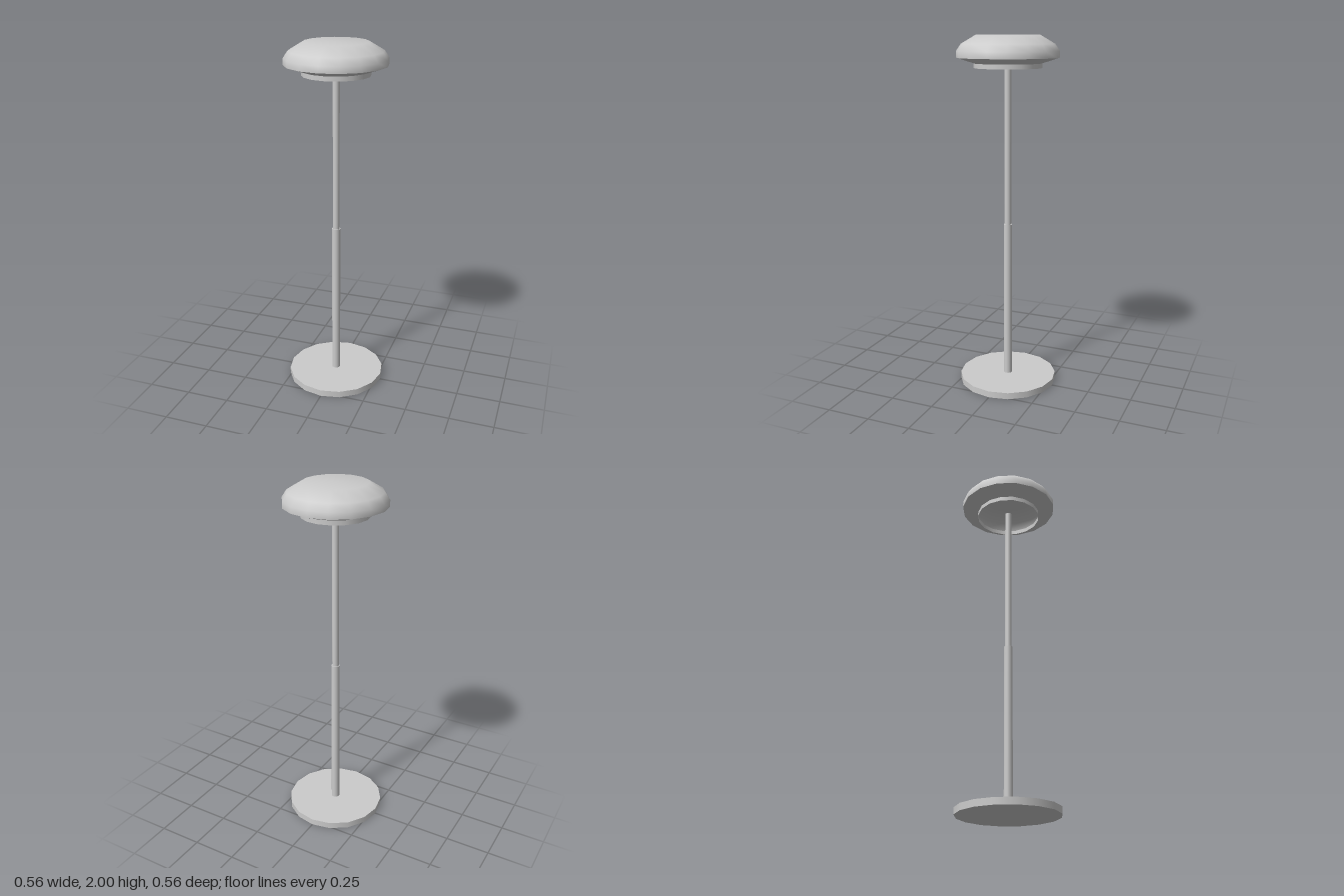
import * as THREE from 'three';

const SIDES = 16;
const solid = new THREE.MeshStandardMaterial({ color: 0xcccccc });
const shell = new THREE.MeshStandardMaterial({ color: 0xcccccc, side: THREE.DoubleSide });

// Upright cylinder spanning two heights
function post(name, radius, y0, y1) {
  const mesh = new THREE.Mesh(new THREE.CylinderGeometry(radius, radius, y1 - y0, SIDES), solid);
  mesh.name = name;
  mesh.position.y = (y0 + y1) / 2;
  return mesh;
}

// Thin turned surface; profile runs from bottom to top
function turned(name, profile) {
  const points = profile.map(([r, y]) => new THREE.Vector2(r, y));
  const mesh = new THREE.Mesh(new THREE.LatheGeometry(points, SIDES), shell);
  mesh.name = name;
  return mesh;
}

export function createModel() {
  const lamp = new THREE.Group();
  lamp.name = 'floorLamp';

  // Base disc and two-stage pole
  lamp.add(
    post('base', 0.281, 0, 0.037),
    post('lowerPole', 0.024, 0.037, 0.95),
    post('upperPole', 0.019, 0.95, 1.85),
  );

  // Hollow lamp head: domed cover, sloping underside and open collar
  const head = new THREE.Group();
  head.name = 'lampHead';
  head.add(
    turned('cover', [[0.281, 1.88], [0.281, 1.915], [0.255, 1.953], [0.175, 2], [0, 2]]),
    turned('underside', [[0.187, 1.85], [0.281, 1.88]]),
    turned('collar', [[0.187, 1.825], [0.187, 1.85]]),
  );
  lamp.add(head);
  return lamp;
}
